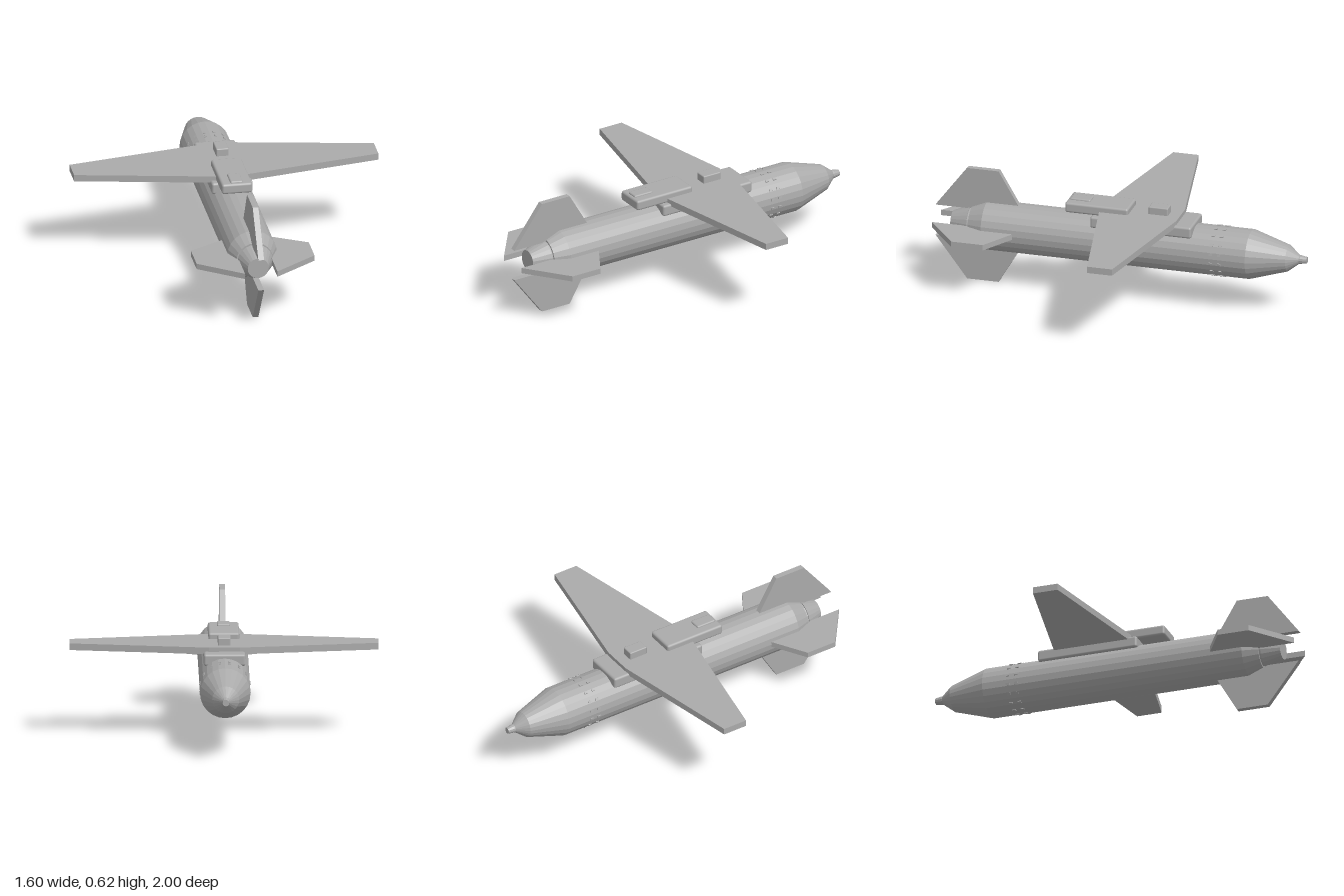
import * as THREE from 'three';
import { RoundedBoxGeometry } from 'three/addons/geometries/RoundedBoxGeometry.js';

const AXIS_Y = 0.312;
const SIDES = 24;

export function createModel() {
  const model = new THREE.Group();
  model.name = 'wingedGlideBody';
  const grey = new THREE.MeshStandardMaterial({ color: 0xaaaaaa });
  grey.name = 'plain grey';

  const add = (name, geometry, parent = model) => {
    const mesh = new THREE.Mesh(geometry, grey);
    mesh.name = name;
    parent.add(mesh);
    return mesh;
  };

  // Faceted solid of revolution along z, from [z, radius] pairs
  const turned = (profile, sides) => {
    const points = profile.map(([z, r]) => new THREE.Vector2(r, z));
    const g = new THREE.LatheGeometry(points, sides).rotateX(Math.PI / 2).toNonIndexed();
    g.computeVertexNormals();
    return g;
  };

  // Horizontal plate from an [x, z] outline, centred on its thickness
  const plate = (outline, thickness) => {
    const shape = new THREE.Shape(outline.map(([x, z]) => new THREE.Vector2(x, z)));
    return new THREE.ExtrudeGeometry(shape, { depth: thickness, bevelEnabled: false })
      .translate(0, 0, -thickness / 2).rotateX(Math.PI / 2);
  };

  // Rounded box from its limits
  const block = (name, halfWidth, y0, y1, z0, z1, radius) => {
    const g = new RoundedBoxGeometry(halfWidth * 2, y1 - y0, z1 - z0, 2, radius);
    add(name, g).position.set(0, (y0 + y1) / 2, (z0 + z1) / 2);
  };

  // Fuselage: tapered nose, long barrel, tail cone with a shallow groove
  add('fuselage', turned([
    [-0.965, 0], [-0.965, 0.018], [-0.9, 0.07], [-0.7, 0.131], [0.725, 0.131],
    [0.805, 0.097], [0.805, 0.088], [0.815, 0.088], [0.815, 0.093], [0.91, 0.055], [0.91, 0],
  ], SIDES)).position.y = AXIS_Y;

  // Nose fuse
  add('noseFuse', turned([
    [-1, 0], [-1, 0.017], [-0.965, 0.023], [-0.955, 0.023], [-0.955, 0],
  ], 12)).position.y = AXIS_Y;

  // Two rings of tiny lugs behind the nose
  const lugs = new THREE.Group();
  lugs.name = 'lugRings';
  lugs.position.y = AXIS_Y;
  model.add(lugs);
  const lugGeometry = new THREE.BoxGeometry(0.012, 0.01, 0.018);
  for (const z of [-0.515, -0.56]) {
    for (let i = 0; i < 16; i++) {
      const a = ((i + 0.5) / 16) * Math.PI * 2;
      const lug = add('lug', lugGeometry, lugs);
      lug.position.set(-Math.sin(a) * 0.13, Math.cos(a) * 0.13, z);
      lug.rotation.z = a;
    }
  }

  // Four tail fins
  const finGeometry = plate([[0.085, 0.528], [0.31, 0.66], [0.31, 0.83], [0.085, 1]], 0.03);
  const fins = new THREE.Group();
  fins.name = 'tailFins';
  fins.position.y = AXIS_Y;
  model.add(fins);
  for (let i = 0; i < 4; i++) {
    add('tailFin', finGeometry, fins).rotation.z = (i * Math.PI) / 2;
  }

  // One-piece wing with a straight centre section
  add('wing', plate([
    [-0.8, -0.18], [-0.08, -0.318], [0.08, -0.318], [0.8, -0.18],
    [0.8, -0.045], [0.08, 0.1], [-0.08, 0.1], [-0.8, -0.045],
  ], 0.035)).position.y = 0.468;

  // Saddle under the wing and housings above it
  block('wingSaddle', 0.108, 0.402, 0.464, -0.403, 0.142, 0.012);
  block('rearHousing', 0.08, 0.462, 0.517, -0.055, 0.285, 0.012);
  block('rearHatch', 0.033, 0.5, 0.526, 0.16, 0.27, 0.008);
  block('frontHatch', 0.033, 0.47, 0.526, -0.257, -0.153, 0.006);

  return model;
}
